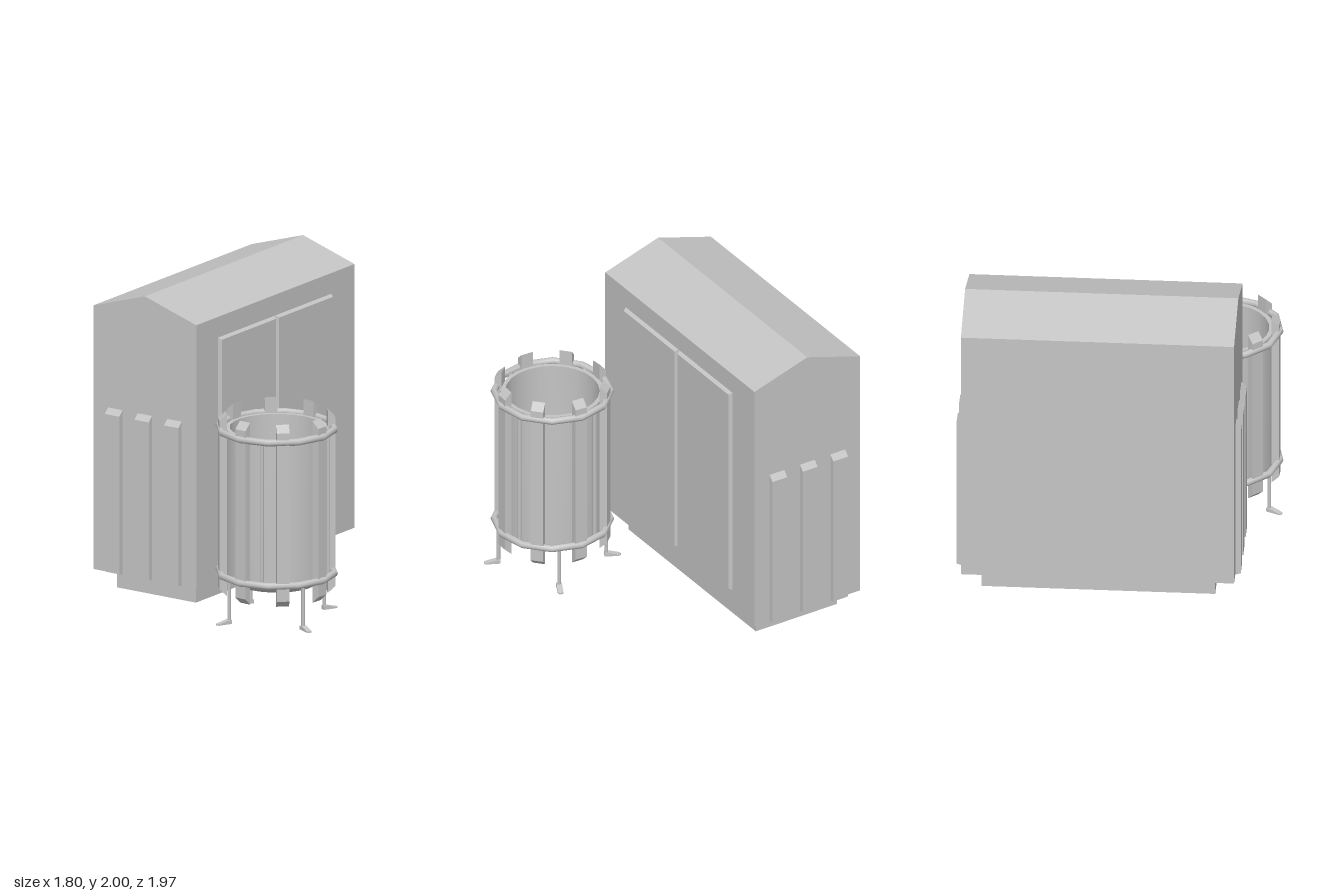
import * as THREE from 'three';

const grey = new THREE.MeshStandardMaterial({ color: 0xc4c4c4 });
grey.name = 'plain grey';

function add(parent, name, geometry, x = 0, y = 0, z = 0) {
  const mesh = new THREE.Mesh(geometry, grey);
  mesh.name = name;
  mesh.position.set(x, y, z);
  parent.add(mesh);
  return mesh;
}

// Extrudes an outline of [x, y] points, centred along z
function prism(points, depth) {
  const shape = new THREE.Shape(points.map(([x, y]) => new THREE.Vector2(x, y)));
  return new THREE.ExtrudeGeometry(shape, { depth, bevelEnabled: false }).translate(0, 0, -depth / 2);
}

// Strip whose outline is [distance outward, height]; outward is +z
const strip = (points, width) => prism(points, width).rotateY(-Math.PI / 2);

// Thin panel facing +x with bevelled edges
function panel(thick, height, length, inset) {
  const g = new THREE.BoxGeometry(thick, height, length).toNonIndexed();
  const p = g.attributes.position;
  for (let i = 0; i < p.count; i++) {
    if (p.getX(i) < 0) continue;
    p.setY(i, p.getY(i) - Math.sign(p.getY(i)) * inset);
    p.setZ(i, p.getZ(i) - Math.sign(p.getZ(i)) * inset);
  }
  g.computeVertexNormals();
  return g;
}

function buildCabinet() {
  const cabinet = new THREE.Group();
  cabinet.name = 'cabinet';
  const length = 1.738;

  add(cabinet, 'plinth', new THREE.BoxGeometry(0.615, 0.14, 1.485), 0, 0.07, 0);
  add(cabinet, 'gabledBody', prism(
    [[-0.4, 0.135], [0.4, 0.135], [0.4, 1.875], [0, 2], [-0.4, 1.875]], length));

  // Upright ribs on both ends
  const rib = strip([[-0.01, 0.135], [0, 0.135], [0.035, 0.145], [0.035, 1.185], [0, 1.22], [-0.01, 1.22]], 0.112);
  for (const turn of [0, Math.PI]) {
    const end = new THREE.Group();
    end.name = turn ? 'backRibs' : 'frontRibs';
    end.rotation.y = turn;
    for (const x of [-0.23, 0, 0.23]) add(end, 'rib', rib, x, 0, length / 2);
    cabinet.add(end);
  }

  // Pair of doors
  for (const z of [0.322, -0.304]) add(cabinet, 'door', panel(0.026, 1.47, 0.622, 0.015), 0.41, 1.005, z);

  cabinet.position.set(-0.45, 0, -0.065);
  cabinet.rotation.y = 0.0575;
  return cabinet;
}

function buildBarrel() {
  const barrel = new THREE.Group();
  barrel.name = 'barrel';

  // Hollow vessel with a rounded bottom
  const v = (x, y) => new THREE.Vector2(x, y);
  const outside = [v(0, 0.205), v(0.16, 0.212), v(0.26, 0.23), v(0.315, 0.26), v(0.328, 0.3), v(0.328, 1.25)];
  const inside = [v(0.3, 1.25), v(0.3, 0.36), v(0.285, 0.31), v(0.24, 0.27), v(0.14, 0.24), v(0, 0.23)];
  add(barrel, 'vesselOutside', new THREE.LatheGeometry(outside, 24));
  add(barrel, 'vesselInside', new THREE.LatheGeometry(inside, 24));
  add(barrel, 'vesselRim', new THREE.RingGeometry(0.3, 0.328, 24).rotateX(-Math.PI / 2), 0, 1.25, 0);

  // Hoops
  for (const y of [0.3, 1.247]) {
    add(barrel, 'hoop', new THREE.TorusGeometry(0.37, 0.023, 8, 12).rotateX(Math.PI / 2), 0, y, 0);
  }

  // Eight staves with slanted ends
  const stave = strip([[0.322, 0.155], [0.37, 0.2], [0.37, 1.31], [0.322, 1.355]], 0.082);
  for (let i = 0; i < 8; i++) add(barrel, 'stave', stave).rotation.y = i * Math.PI / 4;

  // Legs with wedge feet, alternating with upright rods
  const foot = strip([[0.333, 0], [0.425, 0], [0.425, 0.008], [0.36, 0.025], [0.333, 0.025]], 0.036);
  const toe = new THREE.CylinderGeometry(0.018, 0.018, 0.008, 10);
  for (let i = 0; i < 4; i++) {
    const leg = new THREE.Group();
    leg.name = 'leg';
    add(leg, 'shank', new THREE.CylinderGeometry(0.012, 0.012, 0.29, 8), 0, 0.155, 0.345);
    add(leg, 'foot', foot);
    add(leg, 'toe', toe, 0, 0.004, 0.42);
    leg.rotation.y = -Math.PI / 8 + i * Math.PI / 2;
    barrel.add(leg);

    const upright = new THREE.Group();
    upright.name = 'upright';
    add(upright, 'rod', new THREE.CylinderGeometry(0.013, 0.013, 0.95, 8), 0, 0.773, 0.34);
    upright.rotation.y = Math.PI / 8 + i * Math.PI / 2;
    barrel.add(upright);
  }

  barrel.position.set(0.497, 0, 0.585);
  return barrel;
}

export function createModel() {
  const model = new THREE.Group();
  model.name = 'cabinetAndBarrel';
  model.add(buildCabinet(), buildBarrel());
  return model;
}
